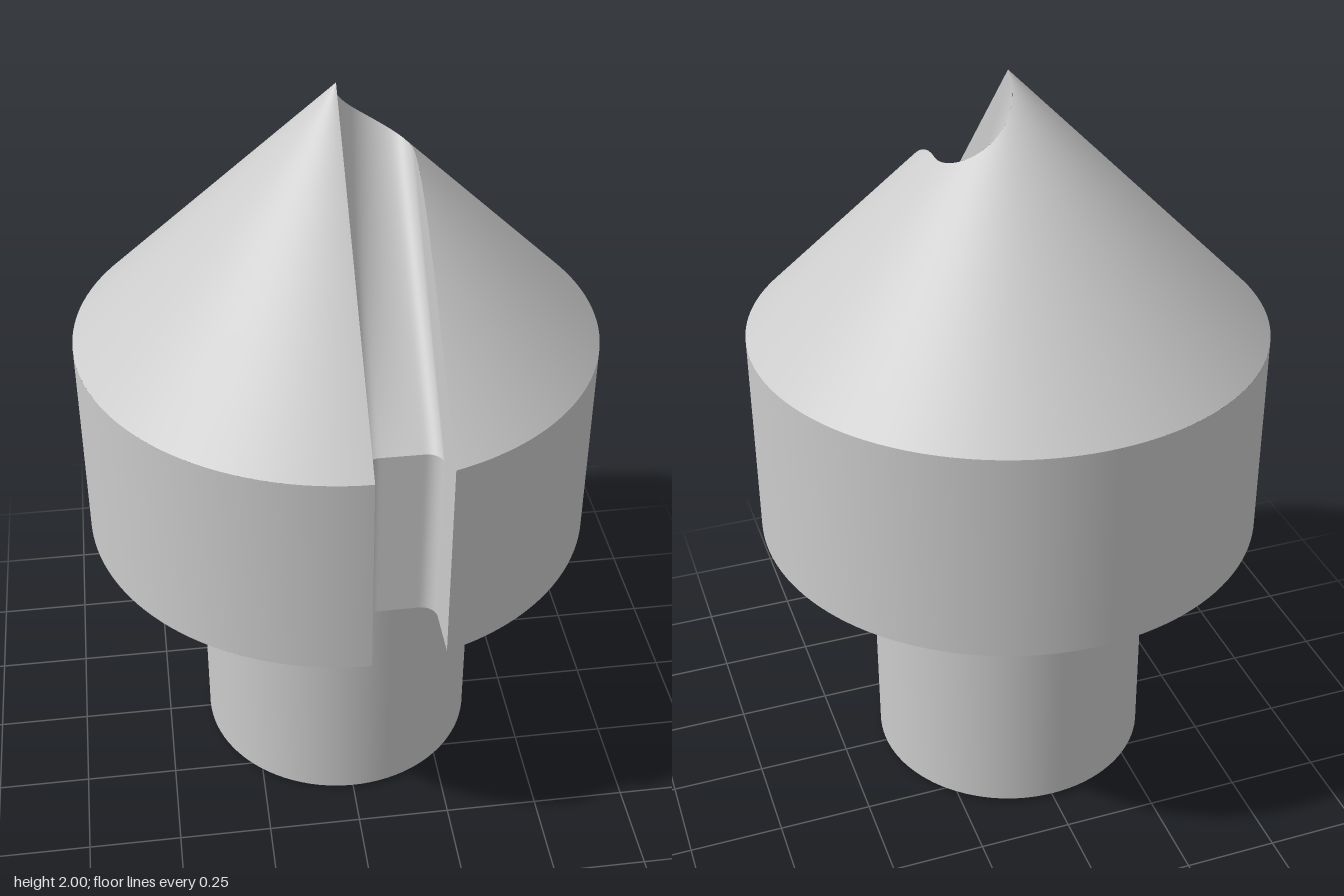
import * as THREE from 'three';

const RIM = 0.675, TIP = 2, RIM_Y = TIP - RIM, HEAD_Y = 0.76; // 45 degree cone on a drum
const SHANK_R = 0.38, CHAMFER = 0.01;
const W = 0.192, R = W / 2, END_Z = -0.014;       // slot width, rounded upper end
const BACK_Z = 0.48, FILLET = 0.04, STEP_Y = 1.25; // vertical part of the slot
const START = Math.asin(W / RIM);                  // slot edge on the rim

const material = new THREE.MeshStandardMaterial({ color: 0xcccccc });
const twoSided = new THREE.MeshStandardMaterial({ color: 0xcccccc, side: THREE.DoubleSide });

function add(group, name, geometry, mat = material) {
  const mesh = new THREE.Mesh(geometry, mat);
  mesh.name = name;
  group.add(mesh);
  return mesh;
}

// Surface from point(u, v); its front faces du x dv
function surface(nu, nv, point, normal) {
  const positions = [], normals = [], index = [];
  for (let j = 0; j <= nv; j++) {
    for (let i = 0; i <= nu; i++) {
      positions.push(...point(i / nu, j / nv));
      if (normal) normals.push(...normal(j / nv));
      if (i < nu && j < nv) {
        const a = j * (nu + 1) + i, c = a + nu + 1;
        index.push(a, a + 1, c, a + 1, c + 1, c);
      }
    }
  }
  const g = new THREE.BufferGeometry();
  g.setAttribute('position', new THREE.Float32BufferAttribute(positions, 3));
  g.setIndex(index);
  if (normal) g.setAttribute('normal', new THREE.Float32BufferAttribute(normals, 3));
  else g.computeVertexNormals();
  return g;
}

// Distance from the axis at which the cone begins outside the slot
function slotExit(theta) {
  const s = Math.sin(theta), c = Math.cos(theta);
  if (s > 1e-6 && (W / s) * c >= END_Z) return W / s;
  const b = R * s + END_Z * c;
  return b + Math.sqrt(Math.max(0, b * b - END_Z * END_Z));
}

function coneSector(from, to, segments, inner) {
  const angle = v => from + (to - from) * v;
  return surface(6, segments, (u, v) => {
    const t = angle(v), r0 = inner(t), r = r0 + (RIM - r0) * u;
    return [r * Math.sin(t), TIP - r, r * Math.cos(t)];
  }, v => [Math.sin(angle(v)) * Math.SQRT1_2, Math.SQRT1_2, Math.cos(angle(v)) * Math.SQRT1_2]);
}

// Slot cross-sections: full round at the top, small corner fillets below
const slotX = v => R - R * Math.cos(Math.PI * v);
function topPoint(v) {
  const x = slotX(v), z = END_Z - R * Math.sin(Math.PI * v);
  return [x, TIP - Math.hypot(x, z), z];
}
function backPoint(v, y) {
  const x = slotX(v), d = Math.max(0, FILLET - Math.min(x, W - x));
  return [x, y, BACK_Z + FILLET - Math.sqrt(Math.max(0, FILLET * FILLET - d * d))];
}

// Flat slot side at the given x, following the cone along its upper edge
function slotWall(x) {
  const rimZ = Math.sqrt(RIM * RIM - x * x), points = [];
  points.push(new THREE.Vector2(BACK_Z + FILLET, HEAD_Y), new THREE.Vector2(rimZ, HEAD_Y));
  for (let i = 0; i <= 40; i++) {
    const z = rimZ * (1 - i / 40);
    points.push(new THREE.Vector2(z, TIP - Math.hypot(x, z)));
  }
  points.push(new THREE.Vector2(END_Z, TIP - Math.hypot(x, END_Z)));
  points.push(new THREE.Vector2(BACK_Z + FILLET, STEP_Y));
  return new THREE.ShapeGeometry(new THREE.Shape(points)).rotateY(-Math.PI / 2);
}

export function createModel() {
  const model = new THREE.Group();
  model.name = 'countersink';

  // Shank with a fine chamfer at its foot
  const shank = new THREE.Group();
  shank.name = 'shank';
  model.add(shank);
  const length = HEAD_Y - CHAMFER;
  add(shank, 'shankBody', new THREE.CylinderGeometry(SHANK_R, SHANK_R, length, 96, 1, true))
    .position.y = CHAMFER + length / 2;
  add(shank, 'shankChamfer', new THREE.CylinderGeometry(SHANK_R, SHANK_R - CHAMFER, CHAMFER, 96, 1, true))
    .position.y = CHAMFER / 2;
  add(shank, 'shankEnd', new THREE.CircleGeometry(SHANK_R - CHAMFER, 96).rotateX(Math.PI / 2));

  // Drum side, open where the slot passes
  const head = new THREE.Group();
  head.name = 'cuttingHead';
  model.add(head);
  add(head, 'headSide', new THREE.CylinderGeometry(
    RIM, RIM, RIM_Y - HEAD_Y, 128, 1, true, START, 2 * Math.PI - START))
    .position.y = (RIM_Y + HEAD_Y) / 2;

  // Notched underside around the shank
  const outline = new THREE.Shape();
  outline.absarc(0, 0, RIM, Math.PI / 2 - START, Math.PI / 2, true);
  for (let i = 0; i <= 32; i++) {
    const [x, , z] = backPoint(i / 32, 0);
    outline.lineTo(x, z);
  }
  const hole = new THREE.Path();
  hole.absarc(0, 0, SHANK_R, 0, 2 * Math.PI, false);
  outline.holes.push(hole);
  add(head, 'headUnderside', new THREE.ShapeGeometry(outline, 96).rotateX(Math.PI / 2))
    .position.y = HEAD_Y;

  // Cone: one half cut by the slot, the other whole
  add(head, 'coneSlottedHalf', coneSector(START, Math.PI, 160, slotExit));
  add(head, 'coneWholeHalf', coneSector(Math.PI, 2 * Math.PI, 64, () => 0));

  // Slot: sloping floor, upright back and two flat sides
  const slot = new THREE.Group();
  slot.name = 'slot';
  model.add(slot);
  add(slot, 'slotFloor', surface(12, 32, (u, v) => {
    const a = topPoint(v), b = backPoint(v, STEP_Y);
    return a.map((n, k) => n + (b[k] - n) * u);
  }), twoSided);
  add(slot, 'slotBack', surface(1, 32, (u, v) => backPoint(v, STEP_Y + (HEAD_Y - STEP_Y) * u)), twoSided);
  add(slot, 'slotRightWall', slotWall(0), twoSided);
  add(slot, 'slotLeftWall', slotWall(W), twoSided).position.x = W;

  return model;
}
